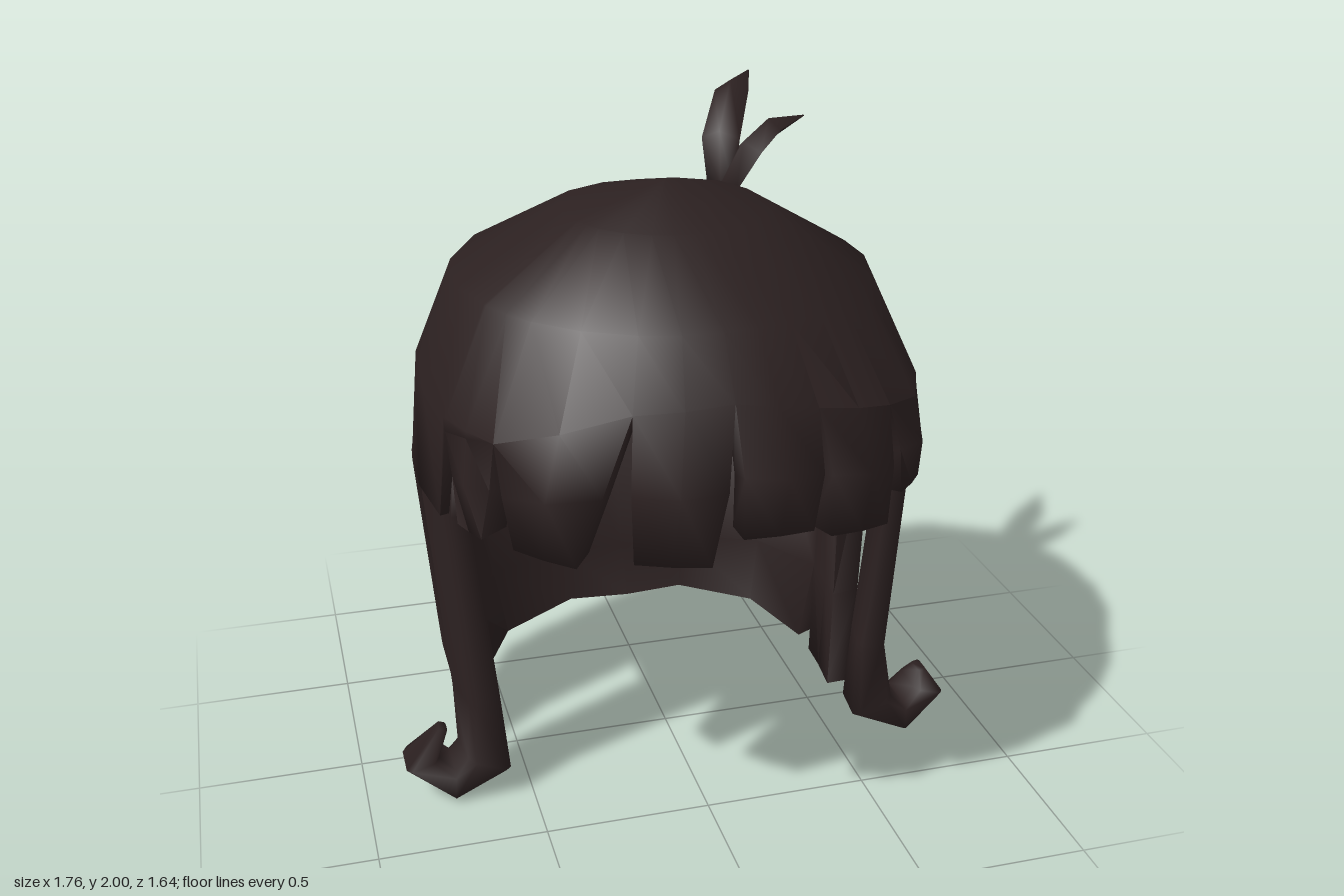
import * as THREE from 'three';
import { toCreasedNormals } from 'three/addons/utils/BufferGeometryUtils.js';

const V = (x, y, z) => new THREE.Vector3(x, y, z);
const { lerp, clamp, mapLinear } = THREE.MathUtils;

// Head outline size against height: [y, scale at sides and back, scale at the front]
const PROFILE = [
  [0, 0.86, 0.86], [0.2, 0.9, 0.9], [0.4, 0.945, 0.945], [0.96, 1, 1],
  [1.26, 0.965, 0.965], [1.56, 0.81, 0.72], [1.75, 0.39, 0.38], [1.83, 0, 0],
];

function scaleAt(y, front) {
  for (let i = 1; i < PROFILE.length; i++) {
    const [y0, s0, f0] = PROFILE[i - 1], [y1, s1, f1] = PROFILE[i];
    if (y <= y1) return lerp(lerp(s0, f0, front), lerp(s1, f1, front), (y - y0) / (y1 - y0));
  }
  return 0;
}

// Point on the head surface; angle 0 is the front, 90 the left side
function headPoint(deg, y, out = 0, depth = 0) {
  const a = deg * Math.PI / 180;
  const n = Math.cos(a) > 0 ? 2.1 : 2.65;
  const r = Math.pow(Math.pow(Math.abs(Math.sin(a)) / 0.765, n) + Math.pow(Math.abs(Math.cos(a)) / 0.825, n), -1 / n);
  // the shell thins towards the crown
  const d = depth * clamp(mapLinear(y, 1.1, 1.75, 1, 0.3), 0.3, 1);
  const s = (r - d) * scaleAt(y, Math.max(0, Math.cos(a))) + out;
  return V(Math.sin(a) * s, y - d * clamp((y - 1) / 0.8, 0, 1), Math.cos(a) * s);
}

// Closed solid through equal-length rings, with strips closing both ends
function loft(rings) {
  const tris = [];
  const quad = (a, b, c, d) => tris.push(a, b, c, a, c, d);
  const n = rings[0].length;
  for (let i = 1; i < rings.length; i++) {
    for (let k = 0; k < n; k++) {
      const m = (k + 1) % n;
      quad(rings[i - 1][k], rings[i - 1][m], rings[i][m], rings[i][k]);
    }
  }
  const first = rings[0], last = rings[rings.length - 1];
  for (let k = 0; k < n / 2 - 1; k++) {
    quad(first[k], first[n - 1 - k], first[n - 2 - k], first[k + 1]);
    quad(last[k], last[k + 1], last[n - 2 - k], last[n - 1 - k]);
  }
  // turn the faces outward
  let volume = 0;
  for (let i = 0; i < tris.length; i += 3) volume += tris[i].dot(tris[i + 1].clone().cross(tris[i + 2]));
  return volume < 0 ? tris.reverse() : tris;
}

// Thick sheet on the head; columns run downward as [angle, y, out, depth]
function sheet(columns) {
  return loft(columns.map((col) => [
    ...col.map(([a, y, out]) => headPoint(a, y, out)),
    ...[...col].reverse().map(([a, y, out, depth]) => headPoint(a, y, out, depth)),
  ]));
}

// Four-cornered section with its corners cut
function chamfer(corners) {
  return corners.flatMap((p, i) => {
    const q = corners[(i + 1) % 4];
    return [p.clone().lerp(q, 0.15), p.clone().lerp(q, 0.85)];
  });
}

// Tapered blade with a diamond section; path points are [x, y, z, width]
function blade(path) {
  const pts = path.map((p) => V(p[0], p[1], p[2]));
  return loft(path.map((p, i) => {
    const dir = pts[Math.min(i + 1, pts.length - 1)].clone().sub(pts[Math.max(i - 1, 0)]).normalize();
    const side = dir.clone().cross(V(0, 1, 0)).normalize();
    const up = side.clone().cross(dir);
    return [[1, 0], [0, 0.75], [-1, 0], [0, -0.75]].map(([u, v]) =>
      pts[i].clone().addScaledVector(side, u * p[3]).addScaledVector(up, v * p[3]));
  }));
}

export function createModel() {
  const group = new THREE.Group();
  group.name = 'hair';
  const hair = new THREE.MeshStandardMaterial({ color: 0x2b2020 });
  hair.name = 'darkBrownHair';
  const parts = [];
  const add = (name, tris) => parts.push({ name, tris });

  // Notches between fringe tufts [angle, y], and tuft ends [angle, y, angle, y]
  const notches = [[-70, 1.22], [-52, 1.26], [-22, 1.38], [0, 1.4], [19, 1.36], [40, 1.3], [69, 1.22]];
  const ends = [
    [-60.5, 1.0, -53, 0.99], [-46, 0.98, -32, 0.97], [-21, 1.0, -6.5, 0.99],
    [-0.5, 1.06, 14, 1.05], [18, 1.02, 34.5, 0.98], [41, 1.04, 54, 1.02],
  ];
  const middle = (p, q) => [(p[0] + q[0]) / 2, (p[1] + q[1]) / 2];

  // Cap: level lower edge at the sides and back, notched edge at the front
  const sideAngles = [71.1, 87.7, 102.6, 113.5, 136, 160, 180];
  const edge = [...sideAngles].reverse().map((a) => [-a, 0.96]);
  notches.forEach((p, i) => {
    edge.push(p);
    if (i < ends.length) edge.push(middle(p, notches[i + 1]));
  });
  edge.push([71, 1.22], ...sideAngles.map((a) => [a, 0.96]));
  add('cap', sheet(edge.map(([a, low]) => [1.83, 1.75, 1.56, 1.26, 0.96].map((y) => [a, Math.max(y, low), 0, 0.12]))));

  // Fringe tufts, slightly puffed out
  ends.forEach(([a0, y0, a1, y1], i) => {
    const tops = [notches[i], middle(notches[i], notches[i + 1]), notches[i + 1]];
    const tips = [[a0, y0], middle([a0, y0], [a1, y1]), [a1, y1]];
    add('fringeTuft' + (i + 1), sheet(tops.map((top, k) => {
      const half = middle(top, tips[k]);
      return [[...top, 0, 0.12], [...half, k === 1 ? 0.025 : 0.005, 0.11], [...tips[k], i === 0 ? 0.025 : 0, 0.1]];
    })));
  });

  // Back curtain, thickest at the nape, its lower edge rising towards the back
  const back = [113.5, 136, 160, 180, 200, 224, 246.5];
  add('backHair', sheet(back.map((a) => {
    const off = Math.abs(a - 180);
    const tipAngle = 180 + Math.sign(a - 180) * Math.min(off, 64);
    const low = mapLinear(headPoint(tipAngle, 0.15).z, -0.31, -0.74, 0.08, 0.2);
    const extra = 1 - off / 66.5;
    return [
      [a, 0.96, 0, 0.12 + 0.03 * extra], [a, 0.36, 0, 0.1 + 0.09 * extra],
      [tipAngle, Math.min(low, 0.2), 0, 0.1 + 0.15 * extra],
    ];
  })));

  for (const s of [1, -1]) {
    const sideName = s > 0 ? 'left' : 'right';

    // Narrow lock in front of the back curtain
    add(sideName + 'BackLock', sheet([
      [[102.6, 0.96, 0, 0.12], [99, 0.33, 0, 0.1], [93, 0.025, -0.01, 0.08]],
      [[108, 0.96, 0, 0.12], [106, 0.345, 0, 0.1], [102, 0.045, -0.01, 0.08]],
      [[113.5, 0.96, 0, 0.12], [113.5, 0.36, 0, 0.1], [110, 0.06, -0.01, 0.08]],
    ].map((col) => col.map(([a, y, out, depth]) => [a * s, y, out, depth]))));

    // Face strand curling outward: inner x, y, outer x, y, back z, front z, slant
    const tip = s > 0 ? [0.83, 0.185, 0.805, 0.18, 0.15, 0.21, 0] : [0.77, 0.215, 0.745, 0.205, 0.15, 0.2, 0];
    add(sideName + 'FaceStrand', loft([
      [0.61, 1.2, 0.74, 1.2, 0.03, 0.25, 0.055],
      [0.64, 0.95, 0.77, 0.95, 0.03, 0.25, 0.055],
      [0.575, 0.32, 0.715, 0.3, 0.06, 0.24, 0.045],
      [0.56, 0.08, 0.71, 0.13, 0.1, 0.28, 0.02],
      [0.74, 0, 0.735, 0.1, 0.11, 0.285, 0],
      [0.88, 0.11, 0.78, 0.14, 0.11, 0.26, 0],
      tip,
    ].map(([x0, y0, x1, y1, zb, zf, slant]) => chamfer([
      V(s * (x0 + slant), y0, zb), V(s * x1, y1, zb), V(s * (x1 - slant), y1, zf), V(s * x0, y0, zf),
    ]))));
  }

  // Two stray blades on the crown
  add('tallStrayBlade', blade([
    [0.26, 1.71, -0.3, 0.04], [0.28, 1.85, -0.37, 0.06], [0.36, 1.965, -0.52, 0.055], [0.46, 2.0, -0.66, 0.003],
  ]));
  add('shortStrayBlade', blade([
    [0.28, 1.71, -0.29, 0.045], [0.36, 1.82, -0.32, 0.055], [0.44, 1.875, -0.36, 0.045], [0.57, 1.895, -0.42, 0.003],
  ]));

  // Smooth the normals across all parts together, then cut one mesh per part
  const whole = toCreasedNormals(new THREE.BufferGeometry().setFromPoints(parts.flatMap((p) => p.tris)), 1.7);
  let start = 0;
  for (const { name, tris } of parts) {
    const geometry = new THREE.BufferGeometry();
    for (const key of ['position', 'normal']) {
      const values = whole.attributes[key].array.slice(start * 3, (start + tris.length) * 3);
      geometry.setAttribute(key, new THREE.BufferAttribute(values, 3));
    }
    start += tris.length;
    const mesh = new THREE.Mesh(geometry, hair);
    mesh.name = name;
    group.add(mesh);
  }
  return group;
}
